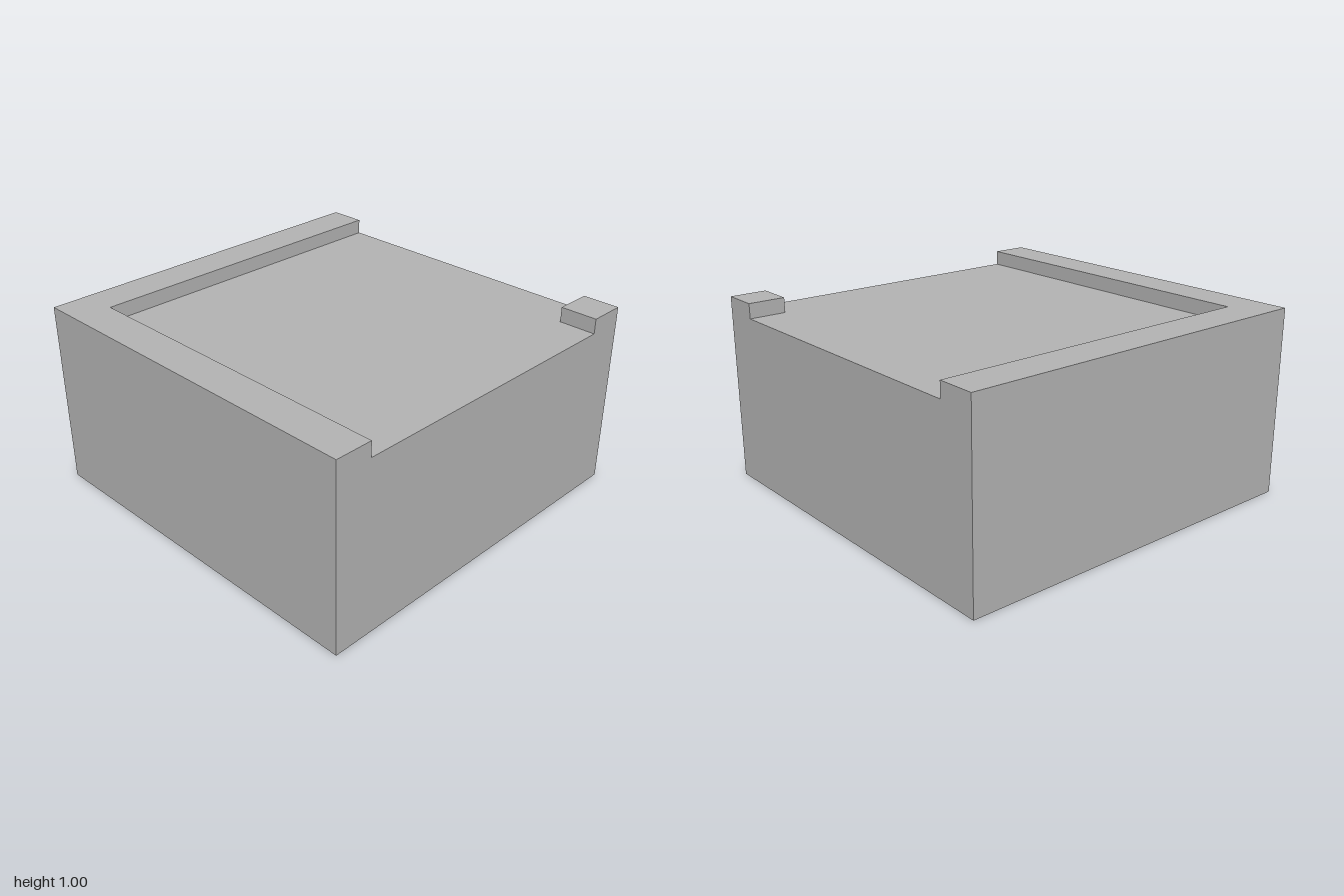
import * as THREE from 'three';

const EDGES = [-1, -0.8, 0.8, 1]; // cell borders, the same along x and z
const FLOOR = 0.92;
const RIM = 1;

// Height of each cell: rim along the left column and back row, post in the front corner
function heightAt(i, j) {
  if (i < 0 || j < 0 || i > 2 || j > 2) return 0;
  return i === 0 || j === 0 || (i === 2 && j === 2) ? RIM : FLOOR;
}

function createBlockGeometry() {
  const positions = [];
  const quad = (a, b, c, d) => positions.push(...a, ...b, ...c, ...a, ...c, ...d);

  for (let i = 0; i < 3; i++) {
    for (let j = 0; j < 3; j++) {
      const h = heightAt(i, j);
      const [x0, x1, z0, z1] = [EDGES[i], EDGES[i + 1], EDGES[j], EDGES[j + 1]];
      const corners = [[x0, z1], [x1, z1], [x1, z0], [x0, z0]];

      // Top face
      quad(...corners.map(([x, z]) => [x, h, z]));

      // Walls down to any lower neighbour
      [[0, 1], [1, 0], [0, -1], [-1, 0]].forEach(([di, dj], k) => {
        const low = heightAt(i + di, j + dj);
        if (low >= h) return;
        const [ax, az] = corners[k];
        const [bx, bz] = corners[(k + 1) % 4];
        quad([ax, low, az], [bx, low, bz], [bx, h, bz], [ax, h, az]);
      });
    }
  }

  // Underside
  quad([-1, 0, -1], [1, 0, -1], [1, 0, 1], [-1, 0, 1]);

  const geometry = new THREE.BufferGeometry();
  geometry.setAttribute('position', new THREE.Float32BufferAttribute(positions, 3));
  geometry.computeVertexNormals();
  return geometry;
}

export function createModel() {
  const grey = new THREE.MeshStandardMaterial({ color: 0xb3b3b3 });
  grey.name = 'grey';

  const block = new THREE.Mesh(createBlockGeometry(), grey);
  block.name = 'rimmedBlock';

  const model = new THREE.Group();
  model.name = 'cornerTile';
  model.add(block);
  return model;
}
